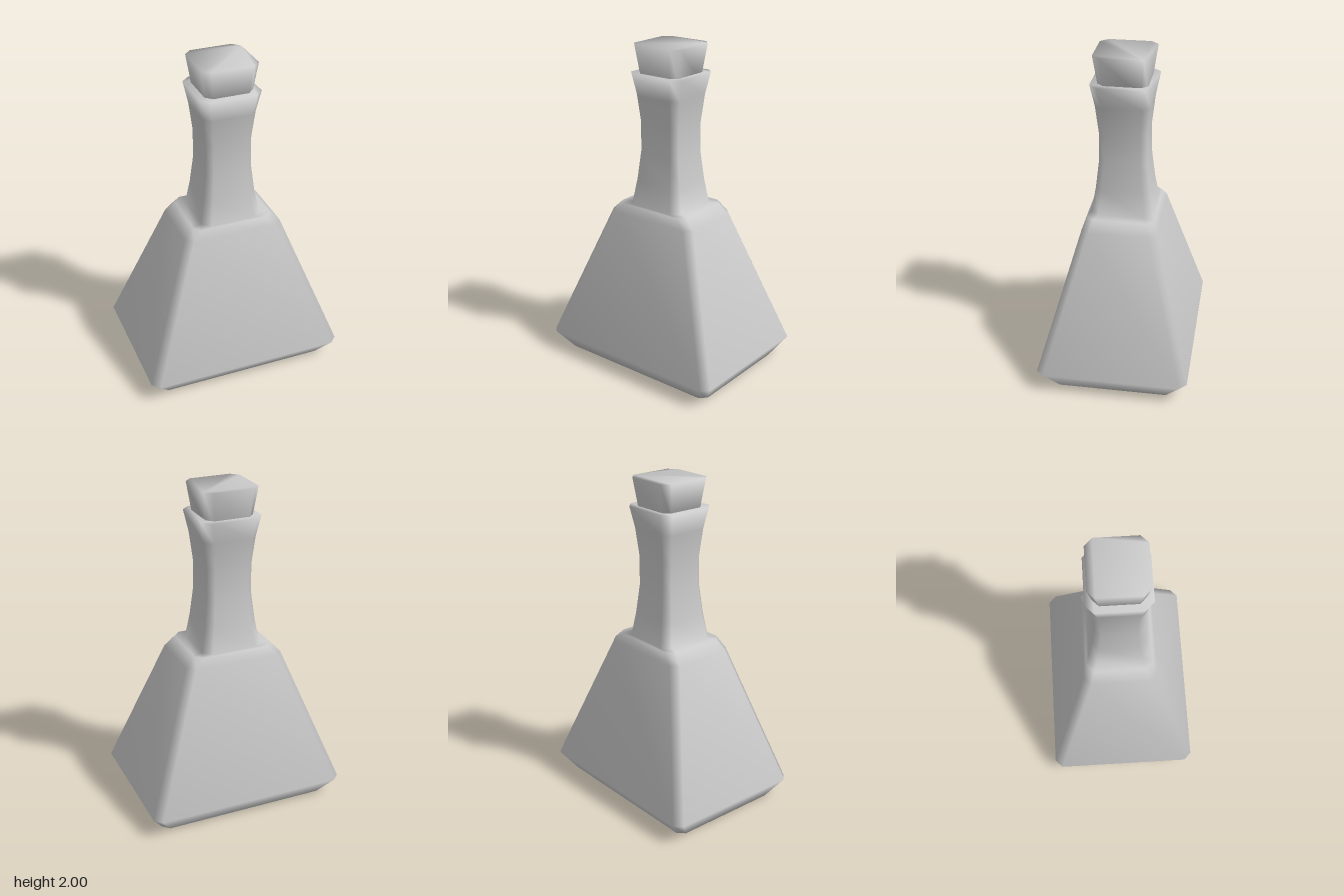
import * as THREE from 'three';

const material = new THREE.MeshStandardMaterial({ color: 0xcccccc });

// Rectangle with cut corners, counter-clockwise seen from above
function ring([y, a, b, c]) {
  return [
    [a, c - b], [a - c, -b], [c - a, -b], [-a, c - b],
    [-a, b - c], [c - a, b], [a - c, b], [a, b - c],
  ].flatMap(([x, z]) => [x, y, z]);
}

// Smooth closed loft through sections of [y, halfWidth, halfDepth, cornerCut]
function loft(name, sections) {
  const n = 8;
  const index = [];
  for (let s = 0; s < sections.length - 1; s++) {
    for (let i = 0; i < n; i++) {
      const a = s * n + i, b = s * n + (i + 1) % n;
      index.push(a, b, a + n, b, b + n, a + n);
    }
  }
  const top = (sections.length - 1) * n;
  for (let i = 1; i < n - 1; i++) {
    index.push(0, i + 1, i);
    index.push(top, top + i, top + i + 1);
  }
  const geometry = new THREE.BufferGeometry();
  geometry.setAttribute('position', new THREE.Float32BufferAttribute(sections.flatMap(ring), 3));
  geometry.setIndex(index);
  geometry.computeVertexNormals();
  const mesh = new THREE.Mesh(geometry, material);
  mesh.name = name;
  return mesh;
}

const square = (y, r) => [y, r, r, r * 0.26];

export function createModel() {
  const group = new THREE.Group();
  group.name = 'bottle';

  // Tapered body, shoulder and waisted neck in one skin
  group.add(loft('bottleBody', [
    [0, 0.545, 0.37, 0.04],
    [0.12, 0.625, 0.46, 0.045],
    [0.96, 0.31, 0.225, 0.045],
    [1.02, 0.25, 0.205, 0.045],
    square(1.022, 0.188),
    square(1.17, 0.163),
    square(1.35, 0.143),
    square(1.53, 0.143),
    square(1.70, 0.162),
    square(1.83, 0.188),
  ]));

  // Flared stopper seated in the neck
  group.add(loft('stopper', [square(1.78, 0.14), square(2, 0.172)]));

  return group;
}
